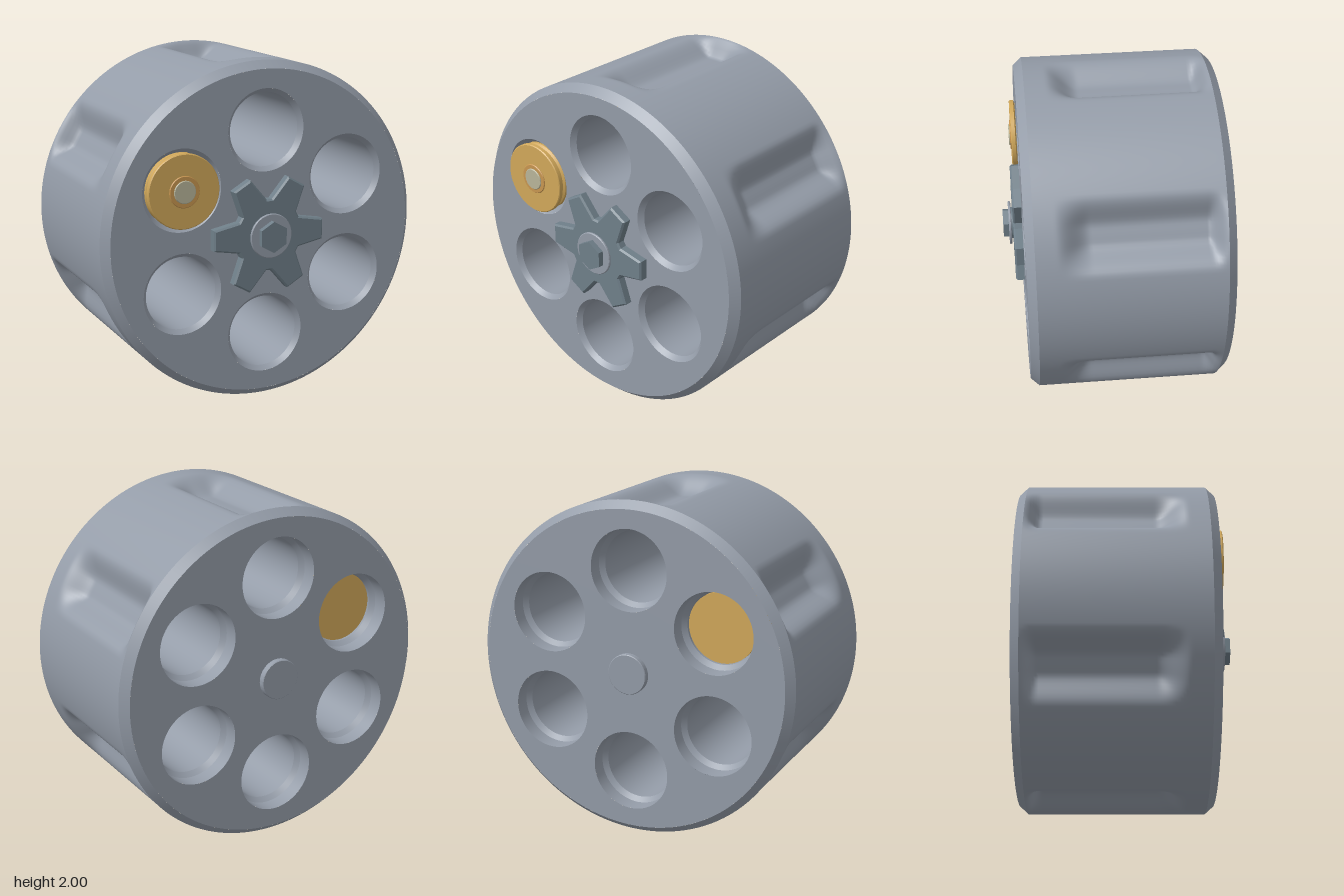
import * as THREE from 'three';
import { mergeVertices, toCreasedNormals } from 'three/addons/utils/BufferGeometryUtils.js';

const FRONT = 0.54, BACK = -0.62;      // end faces along z
const CHAMFER = 0.05, RIM = 0.955;
const HOLE_RING = 0.605, COUNT = 6;

const steel = new THREE.MeshStandardMaterial({ color: 0x949ca8 });
const darkSteel = new THREE.MeshStandardMaterial({ color: 0x6f7f89 });
const brass = new THREE.MeshStandardMaterial({ color: 0xd1a85a });
const copper = new THREE.MeshStandardMaterial({ color: 0xc89650 });
const primerMetal = new THREE.MeshStandardMaterial({ color: 0xb8b59a });

function add(parent, name, geometry, material) {
  const mesh = new THREE.Mesh(geometry, material);
  mesh.name = name;
  parent.add(mesh);
  return mesh;
}

// Revolves [radius, z] points around the z axis; rising z faces outward, falling z inward
function turned(points, sides = 96) {
  const g = new THREE.LatheGeometry(points.map(([r, z]) => new THREE.Vector2(r, z)), sides);
  return toCreasedNormals(g.rotateX(Math.PI / 2), 0.45);
}

// Solid disc or pin between two z values with a small front and back edge break
function disc(r, z0, z1, edge = 0.004) {
  return turned([[0, z0], [r - edge, z0], [r, z0 + edge], [r, z1 - edge], [r - edge, z1], [0, z1]]);
}

const holeCentre = (i) => {
  const a = Math.PI / 2 + (i * Math.PI * 2) / COUNT;
  return [Math.cos(a) * HOLE_RING, Math.sin(a) * HOLE_RING];
};

// Outer wall with six smooth, closed flutes pressed into it
function flutedWall() {
  const z0 = BACK + CHAMFER, z1 = FRONT - CHAMFER;
  let g = new THREE.CylinderGeometry(1, 1, z1 - z0, 288, 72, true);
  g.rotateX(Math.PI / 2).translate(0, 0, (z0 + z1) / 2);
  g.deleteAttribute('normal');
  g.deleteAttribute('uv');
  g = mergeVertices(g, 1e-4);
  const p = g.attributes.position, step = (Math.PI * 2) / COUNT;
  const { smoothstep } = THREE.MathUtils;
  for (let i = 0; i < p.count; i++) {
    const z = p.getZ(i);
    const a = Math.atan2(p.getY(i), p.getX(i)) - Math.PI / 6;
    const off = Math.abs(a - Math.round(a / step) * step);
    const across = 1 - smoothstep(off, 0.05, 0.225);
    const along = smoothstep(z, z0, z0 + 0.09) * (1 - smoothstep(z, 0.18, 0.37));
    const r = 1 - 0.11 * across * along;
    p.setXY(i, p.getX(i) * r, p.getY(i) * r);
  }
  g.computeVertexNormals();
  return g;
}

// End face with the six chamber openings
function endFace() {
  const s = new THREE.Shape().absarc(0, 0, RIM, 0, Math.PI * 2, false);
  for (let i = 0; i < COUNT; i++) {
    const [x, y] = holeCentre(i);
    s.holes.push(new THREE.Path().absarc(x, y, 0.24, 0, Math.PI * 2, true));
  }
  return new THREE.ShapeGeometry(s, 72);
}

// Six-armed star plate
function starPlate() {
  const pts = [];
  for (let i = 0; i < COUNT; i++) {
    const a = (i * Math.PI * 2) / COUNT;
    for (const [x, y] of [[0.185, -0.082], [0.34, -0.053], [0.34, 0.053], [0.185, 0.082]]) {
      pts.push(new THREE.Vector2(x * Math.cos(a) - y * Math.sin(a), x * Math.sin(a) + y * Math.cos(a)));
    }
  }
  const bevel = 0.01;
  const g = new THREE.ExtrudeGeometry(new THREE.Shape(pts), {
    depth: 0.045, bevelEnabled: true, bevelSize: bevel, bevelThickness: bevel, bevelSegments: 1,
  });
  return g.translate(0, 0, FRONT - bevel + 0.008);
}

export function createModel() {
  const model = new THREE.Group();
  model.name = 'flutedDrum';
  model.position.y = 1;

  // Drum body
  const body = new THREE.Group();
  body.name = 'drumBody';
  model.add(body);
  add(body, 'flutedWall', flutedWall(), steel);
  add(body, 'frontChamfer', turned([[1, FRONT - CHAMFER], [RIM, FRONT]], 288), steel);
  add(body, 'backChamfer', turned([[RIM, BACK], [1, BACK + CHAMFER]], 288), steel);
  add(body, 'frontFace', endFace(), steel).position.z = FRONT;
  const back = add(body, 'backFace', endFace(), steel);
  back.rotation.y = Math.PI;
  back.position.z = BACK;

  // Chamber bores, countersunk at the front and flared at the back
  const bore = turned([[0.24, FRONT], [0.215, FRONT - 0.03], [0.212, -0.5], [0.237, -0.53], [0.24, BACK]]);
  for (let i = 0; i < COUNT; i++) {
    const [x, y] = holeCentre(i);
    add(body, 'chamberBore', bore, steel).position.set(x, y, 0);
  }

  // Single rimmed case in the upper right chamber
  const casing = new THREE.Group();
  casing.name = 'casing';
  const [cx, cy] = holeCentre(1);
  casing.position.set(cx, cy, 0);
  model.add(casing);
  add(casing, 'caseShell', turned([
    [0, -0.49], [0.208, -0.49], [0.208, 0.515], [0.195, 0.525], [0.195, 0.54],
    [0.216, 0.547], [0.216, 0.568], [0.211, 0.573], [0, 0.573],
  ]), brass);
  add(casing, 'primerRing', disc(0.092, 0.56, 0.579), copper);
  add(casing, 'primer', disc(0.066, 0.56, 0.586), primerMetal);

  // Star plate, washer, hex head and rear pin
  const axle = new THREE.Group();
  axle.name = 'axle';
  model.add(axle);
  add(axle, 'starPlate', starPlate(), darkSteel);
  add(axle, 'axleNeck', disc(0.095, 0.58, 0.61), darkSteel);
  add(axle, 'washer', disc(0.131, 0.602, 0.618), steel);
  const hex = new THREE.CylinderGeometry(0.092, 0.092, 0.05, 6).rotateX(Math.PI / 2);
  add(axle, 'hexHead', toCreasedNormals(hex, 0.3), darkSteel).position.z = 0.627;
  add(axle, 'rearPin', disc(0.12, -0.655, -0.6), steel);

  const root = new THREE.Group();
  root.add(model);
  return root;
}
